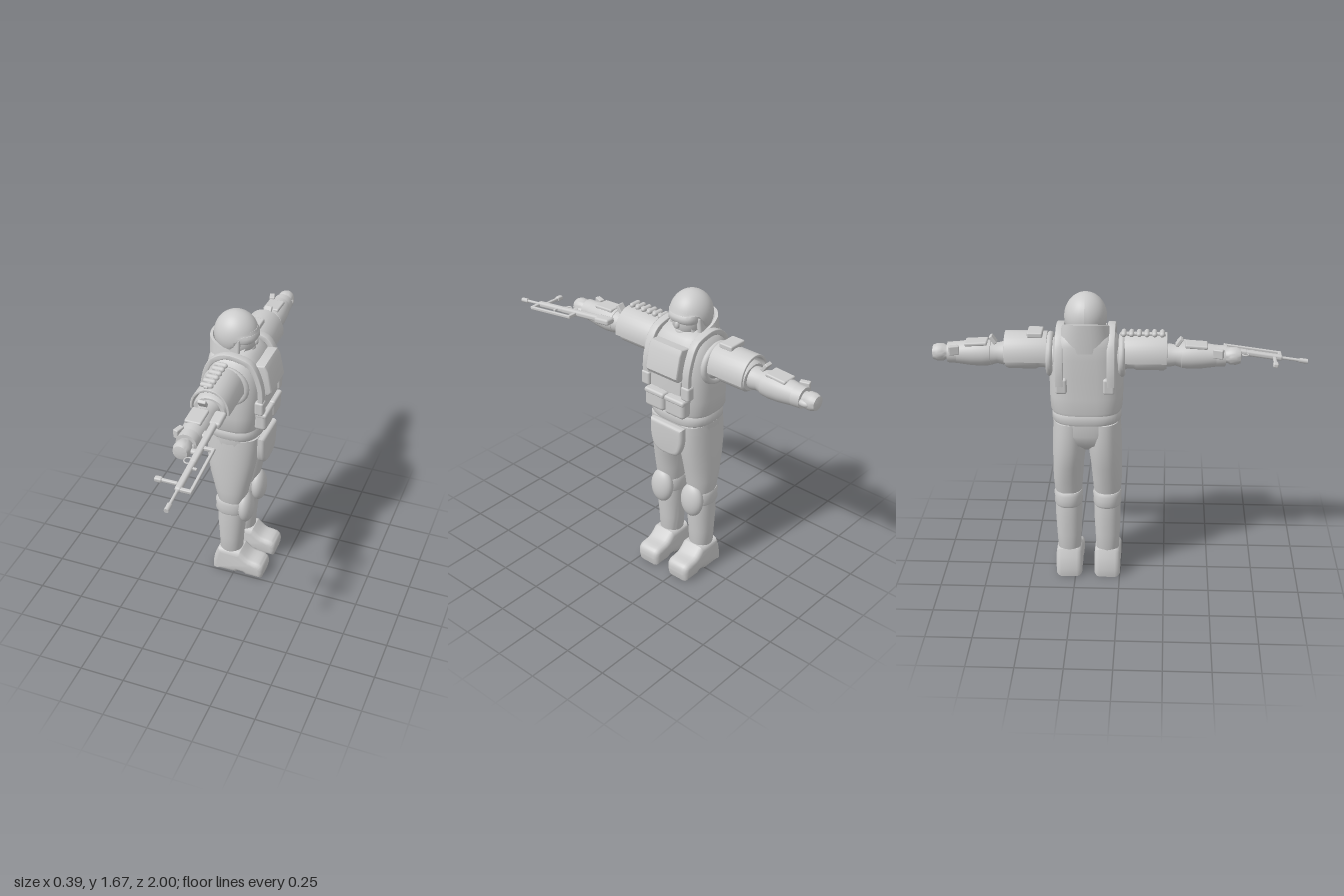
import * as THREE from 'three';
import { toCreasedNormals } from 'three/addons/utils/BufferGeometryUtils.js';
import { RoundedBoxGeometry } from 'three/addons/geometries/RoundedBoxGeometry.js';

const grey = new THREE.MeshStandardMaterial({ color: 0xcccccc, side: THREE.DoubleSide });
grey.name = 'light grey';

function add(parent, name, geo, pos = [0, 0, 0], rot = [0, 0, 0], scale = [1, 1, 1]) {
  const m = new THREE.Mesh(geo, grey);
  m.name = name;
  m.position.set(...pos);
  m.rotation.set(...rot);
  m.scale.set(...scale);
  parent.add(m);
  return m;
}

const rbox = (x, y, z, r = 0.012) => new RoundedBoxGeometry(x, y, z, 2, Math.min(r, x / 2.1, y / 2.1, z / 2.1));
const box = (x, y, z) => new THREE.BoxGeometry(x, y, z);
const ball = () => new THREE.SphereGeometry(1, 28, 18);
const V2 = (p) => new THREE.Vector2(p[0], p[1]);

// Stacked super-ellipse rings: [y, centreX, centreZ, radiusX, radiusZ, tilt]
function loft(rings, power = 2, capped = true, n = 36) {
  const pos = [], idx = [], k = 2 / power;
  const bend = (v) => Math.sign(v) * Math.abs(v) ** k;
  for (const [y, cx, cz, rx, rz, tilt = 0] of rings) {
    for (let j = 0; j < n; j++) {
      const a = (j / n) * Math.PI * 2, c = bend(Math.cos(a));
      pos.push(cx + rx * c, y - tilt * c, cz + rz * bend(Math.sin(a)));
    }
  }
  for (let i = 0; i < rings.length - 1; i++) {
    for (let j = 0; j < n; j++) {
      const a = i * n + j, b = i * n + (j + 1) % n;
      idx.push(a, a + n, b, b, a + n, b + n);
    }
  }
  if (capped) {
    const last = rings.length - 1, c0 = pos.length / 3;
    for (const r of [rings[0], rings[last]]) pos.push(r[1], r[0], r[2]);
    for (let j = 0; j < n; j++) {
      const k2 = (j + 1) % n;
      idx.push(c0, j, k2, c0 + 1, last * n + k2, last * n + j);
    }
  }
  const g = new THREE.BufferGeometry();
  g.setAttribute('position', new THREE.Float32BufferAttribute(pos, 3));
  g.setIndex(idx);
  return toCreasedNormals(g, 0.8);
}

// Side profile in x and y, extruded across z and centred
function slab(points, width, bevel = 0.008) {
  const g = new THREE.ExtrudeGeometry(new THREE.Shape(points.map(V2)), {
    depth: width - 2 * bevel, bevelSize: bevel, bevelThickness: bevel, bevelOffset: -bevel, bevelSegments: 3, curveSegments: 10,
  });
  g.translate(0, 0, -width / 2 + bevel);
  return toCreasedNormals(g, 0.7);
}

const smooth = (pts, n = 24) => new THREE.SplineCurve(pts.map(V2)).getPoints(n).map((p) => [p.x, p.y]);

function buildTorso(body) {
  add(body, 'vest', loft([
    [1.025, -0.035, 0, 0.15, 0.185], [1.04, -0.035, 0, 0.153, 0.192], [1.12, -0.03, 0, 0.156, 0.196],
    [1.24, -0.025, 0, 0.16, 0.196], [1.34, -0.03, 0, 0.155, 0.188], [1.41, -0.04, 0, 0.142, 0.172],
    [1.455, -0.05, 0, 0.122, 0.14], [1.475, -0.055, 0, 0.1, 0.11],
  ], 3));
  add(body, 'belt', loft([
    [0.965, -0.03, 0, 0.147, 0.18], [0.975, -0.03, 0, 0.151, 0.187], [1.012, -0.03, 0, 0.151, 0.187], [1.03, -0.03, 0, 0.143, 0.178],
  ], 2.8));
  add(body, 'pelvis', loft([
    [0.79, -0.035, 0, 0.06, 0.09], [0.84, -0.035, 0, 0.125, 0.165], [0.9, -0.033, 0, 0.145, 0.183], [0.97, -0.03, 0, 0.147, 0.184],
  ], 2.6));
  add(body, 'collar', loft([
    [1.38, -0.05, 0, 0.135, 0.15, 0], [1.45, -0.06, 0, 0.126, 0.135, 0.02], [1.495, -0.06, 0, 0.126, 0.122, 0.045],
    [1.495, -0.06, 0, 0.112, 0.108, 0.045], [1.44, -0.05, 0, 0.1, 0.1, 0.02],
  ], 2.4, false));
  add(body, 'chestPlate', slab([[0.09, 1.425], [0.145, 1.432], [0.163, 1.4], [0.187, 1.28], [0.17, 1.255], [0.09, 1.25]], 0.21));
  add(body, 'chestPanel', slab([[0.09, 1.255], [0.15, 1.25], [0.153, 1.17], [0.09, 1.16]], 0.205));
  const strap = smooth([[0.153, 1.2], [0.15, 1.32], [0.1, 1.445], [0.02, 1.485], [-0.08, 1.485], [-0.16, 1.42], [-0.195, 1.3], [-0.198, 1.2]]);
  const inner = strap.map(([x, y]) => [-0.03 + (x + 0.03) * 0.85, 1.2 + (y - 1.2) * 0.9]).reverse();
  for (const s of [1, -1]) {
    add(body, 'shoulderStrap', slab([...strap, ...inner], 0.042, 0.004), [0, 0, s * 0.135]);
    add(body, 'strapPouch', rbox(0.05, 0.08, 0.055), [0.135, 1.195, s * 0.135]);
    add(body, 'backPouch', rbox(0.065, 0.085, 0.06), [-0.165, 1.2, s * 0.125]);
    add(body, 'bellyPouch', rbox(0.07, 0.11, 0.13, 0.02), [0.132, 1.093, s * 0.068]);
    add(body, 'pouchFlap', rbox(0.074, 0.03, 0.132, 0.012), [0.133, 1.132, s * 0.068]);
  }
  // Rounded flap hanging from the front of the belt
  const half = smooth([[0.11, 0.96], [0.108, 0.87], [0.085, 0.8], [0.04, 0.778], [0, 0.776]], 14);
  const flap = slab([...half, ...half.slice(0, -1).reverse().map(([x, y]) => [-x, y])], 0.05, 0.018);
  add(body, 'groinFlap', flap, [0.128, 0, 0], [0, Math.PI / 2, 0]);
}

function buildHead(body) {
  const head = new THREE.Group();
  head.name = 'head';
  body.add(head);
  add(head, 'neck', new THREE.CylinderGeometry(0.065, 0.08, 0.14, 24), [-0.045, 1.46, 0]);
  add(head, 'face', ball(), [-0.01, 1.515, 0], [0, 0, 0], [0.068, 0.09, 0.076]);
  add(head, 'chin', ball(), [0.015, 1.465, 0], [0, 0, 0], [0.042, 0.036, 0.045]);
  add(head, 'nose', ball(), [0.06, 1.512, 0], [0, 0, 0], [0.013, 0.022, 0.013]);
  // Helmet dome with its rim rising towards the front
  const dome = new THREE.SphereGeometry(1, 40, 30);
  dome.scale(0.12, 0.128, 0.112);
  const p = dome.attributes.position;
  for (let i = 0; i < p.count; i++) {
    const rim = -0.075 + 0.105 * THREE.MathUtils.smoothstep(p.getX(i), -0.02, 0.07);
    if (p.getY(i) < rim) p.setY(i, rim);
  }
  dome.computeVertexNormals();
  add(head, 'helmet', dome, [-0.05, 1.543, 0]);
  add(head, 'helmetBrim', new THREE.CylinderGeometry(0.09, 0.096, 0.016, 24, 1, false, 0.25, Math.PI - 0.5), [-0.026, 1.581, 0]);
  add(head, 'goggles', loft([[1.523, -0.01, 0, 0.07, 0.083], [1.535, -0.01, 0, 0.081, 0.088], [1.557, -0.01, 0, 0.081, 0.088], [1.57, -0.01, 0, 0.072, 0.085]], 2.6));
  for (const s of [1, -1]) {
    add(head, 'earFlap', rbox(0.085, 0.12, 0.026, 0.012), [-0.04, 1.495, s * 0.09], [s * -0.12, 0, 0]);
    add(head, 'chinStrap', rbox(0.02, 0.09, 0.012, 0.004), [0.012, 1.48, s * 0.062], [s * -0.45, 0, -0.25]);
  }
}

function buildLeg(body, s) {
  const leg = new THREE.Group();
  leg.name = s > 0 ? 'rightLeg' : 'leftLeg';
  body.add(leg);
  const z = s * 0.108;
  add(leg, 'thigh', loft([
    [0.5, -0.03, z, 0.075, 0.068], [0.53, -0.03, z, 0.083, 0.076], [0.6, -0.033, z, 0.098, 0.081],
    [0.7, -0.036, s * 0.104, 0.122, 0.085], [0.8, -0.036, s * 0.097, 0.14, 0.091], [0.9, -0.032, s * 0.093, 0.146, 0.092], [0.965, -0.03, s * 0.092, 0.146, 0.09],
  ], 2.2));
  add(leg, 'kneeBand', loft([
    [0.435, -0.035, z, 0.083, 0.072], [0.45, -0.035, z, 0.092, 0.079], [0.475, -0.035, z, 0.087, 0.076],
    [0.505, -0.035, z, 0.092, 0.08], [0.522, -0.035, z, 0.083, 0.074],
  ], 2.2));
  add(leg, 'shin', loft([
    [0.13, -0.035, z, 0.06, 0.056], [0.155, -0.035, z, 0.066, 0.064], [0.25, -0.034, z, 0.07, 0.069],
    [0.36, -0.032, z, 0.08, 0.074], [0.45, -0.03, z, 0.08, 0.073],
  ], 2.2));
  add(leg, 'kneePad', ball(), [0.05, 0.472, z], [0, 0, 0.06], [0.045, 0.1, 0.071]);
  // Boot with a raised arch between heel and sole
  const upper = smooth([[0.18, 0.04], [0.176, 0.08], [0.15, 0.103], [0.085, 0.115], [0.035, 0.16]], 14);
  const heel = smooth([[-0.1, 0.16], [-0.122, 0.1], [-0.132, 0.04], [-0.13, 0.0]], 8);
  add(leg, 'boot', slab([[0.17, 0.0], ...upper, ...heel, [0.01, 0], [0.025, 0.012], [0.055, 0.012], [0.07, 0]], 0.145, 0.028), [0, 0, z]);
}

function buildArm(body, s) {
  const arm = new THREE.Group();
  arm.name = s > 0 ? 'rightArm' : 'leftArm';
  arm.position.set(-0.037, 1.325, 0);
  body.add(arm);
  const turned = (name, profile, sx = 1) => {
    const g = new THREE.LatheGeometry(profile.map(V2), 28);
    add(arm, name, toCreasedNormals(g, 0.7), [0, 0, 0], [s * Math.PI / 2, 0, 0], [sx, 1, 1]);
  };
  turned('sleeve', [[0, 0.12], [0.085, 0.13], [0.083, 0.2], [0.072, 0.22], [0.072, 0.25], [0.079, 0.265], [0.079, 0.41], [0.07, 0.425], [0, 0.425]], 1.18);
  turned('elbow', [[0.058, 0.4], [0.062, 0.44], [0.055, 0.47], [0.064, 0.5], [0.06, 0.54]]);
  turned('forearm', [[0.05, 0.495], [0.067, 0.505], [0.071, 0.55], [0.068, 0.61], [0.058, 0.685], [0, 0.69]]);
  turned('cuff', [[0.05, 0.68], [0.058, 0.685], [0.055, 0.735], [0, 0.738]]);
  turned('hand', [[0.036, 0.72], [0.038, 0.745], [0.046, 0.76], [0.047, 0.79], [0.038, 0.813], [0, 0.822]]);
  add(arm, 'thumb', ball(), [0.037, -0.005, s * 0.755], [0, 0, 0], [0.018, 0.018, 0.034]);
  // Curved shoulder guard wrapped over the sleeve
  const arc = [];
  for (let i = 0; i <= 20; i++) {
    const a = -0.1 + (i / 20) * (Math.PI + 0.2);
    arc.push([Math.cos(a) * 0.108, Math.sin(a) * 0.122]);
  }
  const guard = slab([...arc, ...arc.map(([x, y]) => [x * 0.88, y * 0.88]).reverse()], 0.225, 0.003);
  add(arm, 'shoulderGuard', guard, [0, 0, s * 0.315]);
  add(arm, 'armholeRing', new THREE.TorusGeometry(0.1, 0.018, 10, 30), [0, 0, s * 0.19], [0, 0, 0], [1.1, 1, 1]);
  add(arm, 'elbowTab', rbox(0.045, 0.05, 0.02, 0.005), [-0.01, 0.08, s * 0.49], [s * 0.6, 0, 0]);
  add(arm, 'forearmPlate', rbox(0.09, 0.02, 0.12, 0.008), [-0.005, 0.062, s * 0.58], [s * 0.06, 0, 0]);
  add(arm, 'wristDevice', rbox(0.03, 0.05, 0.055, 0.006), [-0.055, 0.032, s * 0.695], [0, s * -0.3, 0]);
}

function buildGun(root) {
  // Rifle lying on its side, muzzle towards +z and slightly lowered
  const gun = new THREE.Group();
  gun.name = 'rifle';
  gun.position.set(0.045, 1.363, 0.3);
  gun.rotation.x = 0.137;
  root.add(gun);
  add(gun, 'stock', rbox(0.06, 0.034, 0.1), [0.005, 0, 0.05]);
  add(gun, 'receiver', rbox(0.036, 0.032, 0.3), [0, 0, 0.23]);
  add(gun, 'handguard', rbox(0.034, 0.03, 0.22), [0, 0, 0.46]);
  add(gun, 'carryHandle', rbox(0.016, 0.018, 0.31, 0.005), [0.064, 0, 0.41]);
  for (const z of [0.263, 0.557]) add(gun, 'handlePost', rbox(0.075, 0.02, 0.02, 0.005), [0.034, 0, z]);
  add(gun, 'sight', rbox(0.025, 0.014, 0.014, 0.004), [0.025, 0, 0.41]);
  const tube = (name, r, len, z) => add(gun, name, new THREE.CylinderGeometry(r, r, len, 14), [0, 0, z], [Math.PI / 2, 0, 0]);
  tube('barrel', 0.008, 0.16, 0.62);
  tube('muzzle', 0.013, 0.045, 0.683);
  add(gun, 'pistolGrip', rbox(0.09, 0.026, 0.032), [-0.05, 0, 0.3]);
  add(gun, 'magazine', rbox(0.08, 0.022, 0.045), [-0.04, 0, 0.17]);
  add(gun, 'triggerGuard', new THREE.TorusGeometry(0.02, 0.004, 8, 18), [-0.028, 0, 0.365], [Math.PI / 2, 0, 0]);
  add(gun, 'foregrip', rbox(0.11, 0.018, 0.018, 0.006), [-0.07, 0, 0.525]);
  add(gun, 'foregripEnd', rbox(0.04, 0.026, 0.028, 0.008), [-0.115, 0, 0.525]);
}

export function createModel() {
  const root = new THREE.Group();
  root.name = 'soldier';
  const body = new THREE.Group();
  body.name = 'body';
  body.position.z = -0.178;
  root.add(body);
  buildTorso(body);
  buildHead(body);
  for (const s of [1, -1]) {
    buildLeg(body, s);
    buildArm(body, s);
  }
  // Row of rounds on one shoulder, a flat pack on the other
  for (let i = 0; i < 6; i++) {
    add(body, 'shoulderRound', new THREE.CapsuleGeometry(0.014, 0.045, 4, 12), [-0.06, 1.455, 0.2 + i * 0.04], [0, 0, Math.PI / 2]);
  }
  add(body, 'roundsBelt', rbox(0.025, 0.016, 0.24, 0.005), [-0.06, 1.45, 0.3]);
  add(body, 'shoulderPack', rbox(0.11, 0.03, 0.08, 0.008), [-0.055, 1.45, -0.265]);
  buildGun(root);
  return root;
}
